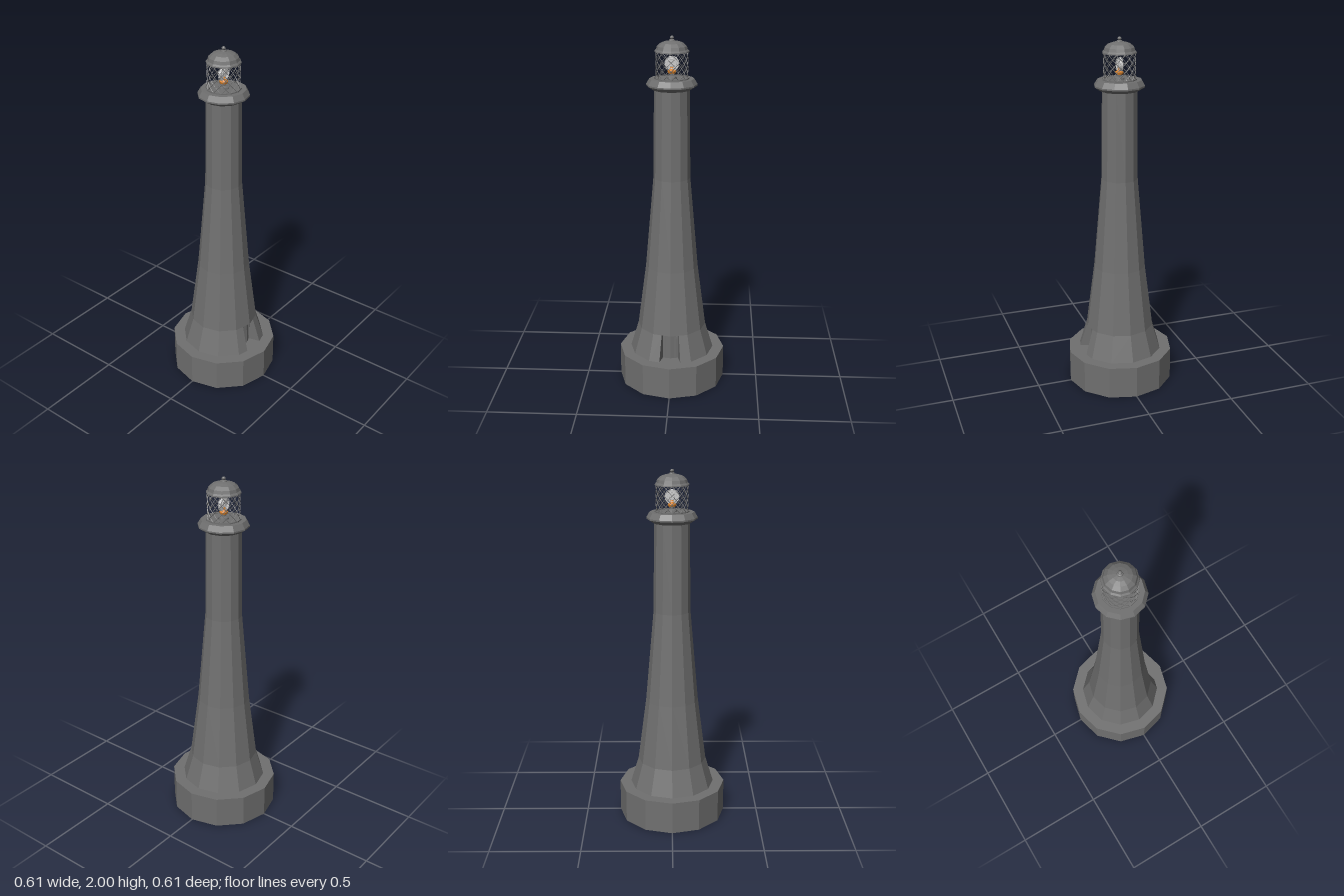
import * as THREE from 'three';

const SIDES = 12;
const rad = THREE.MathUtils.degToRad;
const stone = new THREE.MeshStandardMaterial({ color: 0x707070, flatShading: true, side: THREE.DoubleSide });
const glass = new THREE.MeshStandardMaterial({ color: 0xcccccc, flatShading: true });
const orange = new THREE.MeshStandardMaterial({ color: 0xd9822b, flatShading: true });

function add(parent, name, geometry, material = stone) {
  const mesh = new THREE.Mesh(geometry, material);
  mesh.name = name;
  parent.add(mesh);
  return mesh;
}

// Turned part from [radius, height] pairs, listed from the bottom up
function turned(parent, name, profile, sides = SIDES, material = stone) {
  const points = profile.map(([r, y]) => new THREE.Vector2(r, y));
  return add(parent, name, new THREE.LatheGeometry(points, sides), material);
}

// Point on a twelve-sided ring; half-way angles lie on the flat of a side
function ringPoint(deg, r, y) {
  const k = deg % 30 === 0 ? 1 : Math.cos(rad(15));
  return [r * k * Math.sin(rad(deg)), y, r * k * Math.cos(rad(deg))];
}

// Loose quads, corners counter-clockwise seen from outside
function quads(list) {
  const pos = [];
  for (const [a, b, c, d] of list) pos.push(...a, ...b, ...c, ...a, ...c, ...d);
  const g = new THREE.BufferGeometry();
  g.setAttribute('position', new THREE.Float32BufferAttribute(pos, 3));
  g.computeVertexNormals();
  return g;
}

// Wall running through the given angles between two heights
function wall(angles, r0, y0, r1, y1) {
  return angles.slice(1).map((b, i) => {
    const a = angles[i];
    return [ringPoint(a, r0, y0), ringPoint(b, r0, y0), ringPoint(b, r1, y1), ringPoint(a, r1, y1)];
  });
}

function buildTower() {
  const tower = new THREE.Group();
  tower.name = 'tower';
  const floor = 0.185, lintel = 0.335, foot = 0.24, waist = 0.195, back = 0.172;

  turned(tower, 'shaft', [[waist, lintel], [0.148, 0.7], [0.103, 1.22], [0.097, 1.72]]);

  // Flared foot with a gap for the doorway
  const angles = [15];
  for (let a = 30; a <= 330; a += 30) angles.push(a);
  angles.push(345);
  add(tower, 'flaredFoot', quads(wall(angles, foot, floor, waist, lintel)));

  // Doorway recess: back wall, jambs and lintel
  const opening = [-15, 0, 15];
  const jamb = (deg) => [
    ringPoint(deg, back, floor), ringPoint(deg, foot, floor),
    ringPoint(deg, waist, lintel), ringPoint(deg, back, lintel)];
  add(tower, 'doorRecess', quads([
    ...wall(opening, back, floor, back, lintel),
    jamb(-15), jamb(15).reverse(),
    ...wall(opening, waist, lintel, back, lintel),
  ]));

  // Door stiles and latch
  for (const s of [-1, 0, 1]) {
    const stile = add(tower, 'doorStile', new THREE.BoxGeometry(0.004, lintel - floor, 0.004));
    stile.position.set(s * 0.027, (floor + lintel) / 2, s ? 0.166 : 0.172);
  }
  const latch = add(tower, 'doorLatch', new THREE.BoxGeometry(0.01, 0.01, 0.006));
  latch.position.set(0.036, 0.315, 0.166);
  return tower;
}

function buildLantern() {
  const lantern = new THREE.Group();
  lantern.name = 'lantern';
  const bottom = 1.772, top = 1.915, r = 0.087;

  turned(lantern, 'sill', [[0.095, bottom], [0.095, bottom + 0.006], [0.088, bottom + 0.006]]);

  // Diagonal glazing bars wound both ways
  for (const dir of [-1, 1]) {
    for (let i = 0; i < SIDES; i++) {
      const points = [];
      for (let j = 0; j <= 6; j++) {
        const a = rad(i * 30 + dir * j * 15);
        points.push(new THREE.Vector3(r * Math.sin(a), bottom + (top - bottom) * j / 6, r * Math.cos(a)));
      }
      const path = new THREE.CatmullRomCurve3(points);
      add(lantern, 'glazingBar', new THREE.TubeGeometry(path, 12, 0.0018, 4));
    }
  }

  // Domed roof with a ball on top
  turned(lantern, 'roof', [[0, 1.93], [0.084, 1.914], [0.094, 1.914], [0.093, 1.92],
    [0.085, 1.928], [0.08, 1.945], [0.061, 1.962], [0.038, 1.97], [0.017, 1.974], [0, 1.975]]);
  turned(lantern, 'finial', [[0.017, 1.972], [0.015, 1.979], [0.007, 1.982], [0.011, 1.988],
    [0.01, 1.994], [0.005, 1.999], [0, 2.0]], 10);
  return lantern;
}

function buildLamp() {
  const lamp = new THREE.Group();
  lamp.name = 'lamp';
  turned(lamp, 'pedestal', [[0.028, 1.772], [0.026, 1.782], [0.01, 1.788], [0.01, 1.802]]);
  turned(lamp, 'burner', [[0, 1.798], [0.02, 1.8], [0.024, 1.812], [0.012, 1.822], [0.008, 1.836], [0, 1.838]], 10, orange);

  // Ringed lens facing front and back
  for (const s of [-1, 1]) {
    for (const r of [0.014, 0.026, 0.038]) {
      const ring = add(lamp, 'lensRing', new THREE.TorusGeometry(r, 0.002, 5, 16), glass);
      ring.position.set(0, 1.852, s * (0.018 - r * 0.3));
    }
  }
  const lens = add(lamp, 'lens', new THREE.CylinderGeometry(0.036, 0.036, 0.008, 16), glass);
  lens.rotation.x = Math.PI / 2;
  lens.position.y = 1.852;
  return lamp;
}

export function createModel() {
  const model = new THREE.Group();
  model.name = 'lighthouse';
  turned(model, 'base', [[0, 0], [0.304, 0], [0.304, 0.185], [0, 0.185]]);
  model.add(buildTower());
  turned(model, 'gallery', [[0.095, 1.714], [0.107, 1.714], [0.139, 1.735], [0.139, 1.743], [0.122, 1.772], [0, 1.772]]);
  model.add(buildLantern(), buildLamp());
  return model;
}
